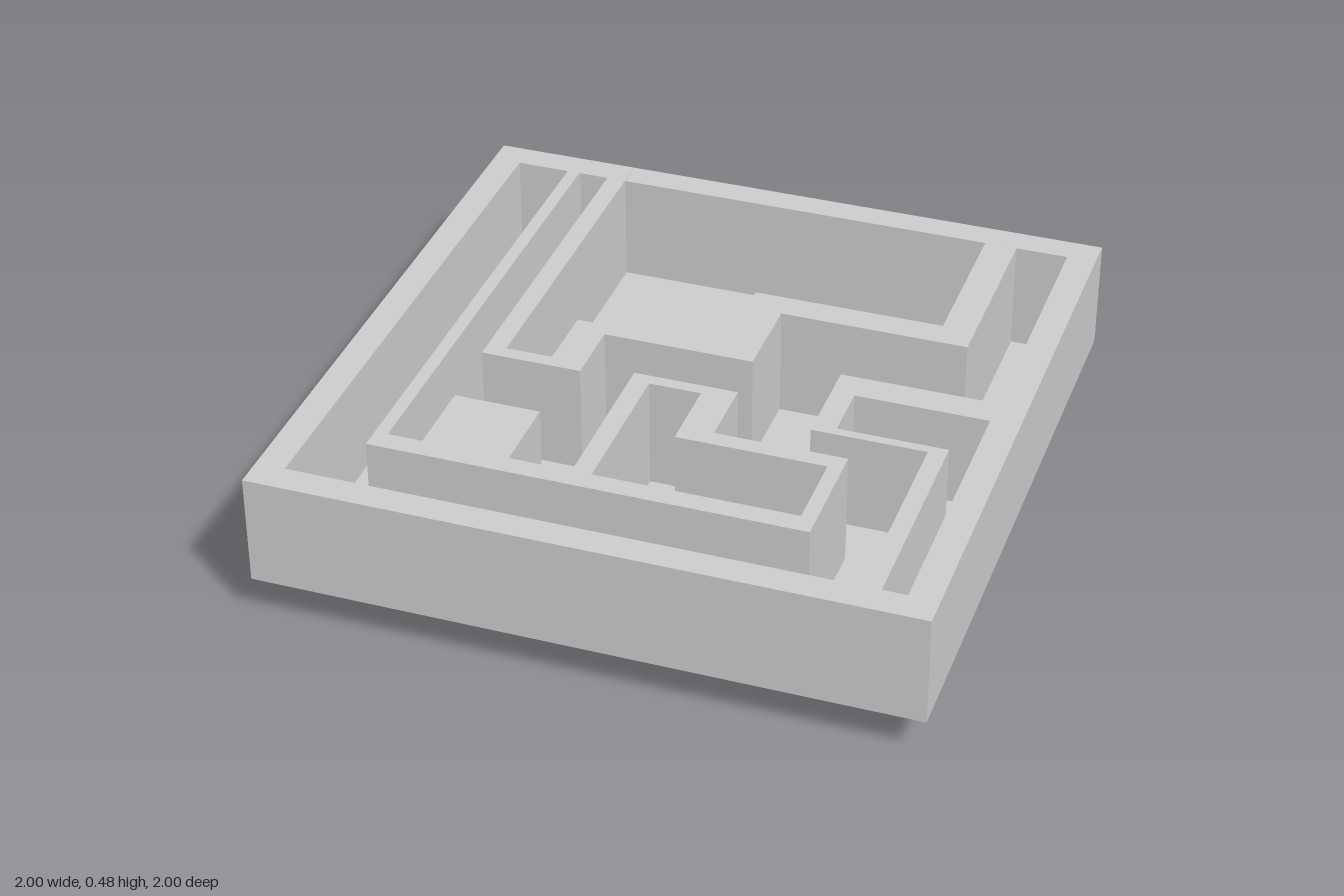
import * as THREE from 'three';

const BASE = 0.13, RIM = 0.475, INNER = 0.91;
const material = new THREE.MeshStandardMaterial({ color: 0xcccccc, flatShading: true, side: THREE.DoubleSide });

// Plan points are [x, z]; shapes are drawn with y = -z and laid flat afterwards.
const toPlan = (points) => points.map(([x, z]) => new THREE.Vector2(x, -z));
const square = (h) => [[-h, -h], [-h, h], [h, h], [h, -h]];

function planShape(outline, hole) {
  const shape = new THREE.Shape(toPlan(outline));
  if (hole) shape.holes.push(new THREE.Path(toPlan(hole)));
  return shape;
}

function addMesh(parent, name, geometry, y = 0) {
  const mesh = new THREE.Mesh(geometry, material);
  mesh.name = name;
  mesh.position.y = y;
  parent.add(mesh);
}

// Maze wall: a plan outline raised from bottom to top
function addWall(parent, name, bottom, top, outline, hole) {
  const geometry = new THREE.ExtrudeGeometry(planShape(outline, hole), { depth: top - bottom, bevelEnabled: false });
  addMesh(parent, name, geometry.rotateX(-Math.PI / 2), bottom);
}

// Four upright sides of a square, open at top and bottom
function squareSides(half) {
  return new THREE.CylinderGeometry(half * Math.SQRT2, half * Math.SQRT2, RIM - BASE, 4, 1, true).rotateY(Math.PI / 4);
}

export function createModel() {
  const model = new THREE.Group();
  model.name = 'mazeTray';

  // Hollow frame, open underneath
  const frame = new THREE.Group();
  frame.name = 'frame';
  model.add(frame);
  const middle = (BASE + RIM) / 2;
  addMesh(frame, 'outerSides', squareSides(1), middle);
  addMesh(frame, 'innerSides', squareSides(INNER), middle);
  addMesh(frame, 'rimTop', new THREE.ShapeGeometry(planShape(square(1), square(INNER))).rotateX(-Math.PI / 2), RIM);

  // Floor sheet
  addMesh(model, 'floor', new THREE.PlaneGeometry(2 * INNER, 2 * INNER).rotateX(-Math.PI / 2), BASE);

  // Long wall that ends in a closed loop
  addWall(model, 'loopWall', 0.085, 0.48,
    [[-0.74, -0.91], [-0.74, 0.73], [0.58, 0.73], [0.58, 0.36], [0.18, 0.36], [0.18, 0.14],
      [-0.14, 0.14], [-0.14, 0.665], [-0.7, 0.665], [-0.7, -0.91]],
    [[-0.08, 0.18], [0.08, 0.18], [0.08, 0.415], [0.535, 0.415], [0.535, 0.665], [-0.08, 0.665]]);

  // Stepped wall enclosing the back chamber
  addWall(model, 'steppedWall', BASE, 0.478,
    [[-0.605, -0.97], [-0.605, 0.18], [-0.295, 0.18], [-0.295, -0.03], [0.17, -0.03], [0.17, -0.31],
      [0.75, -0.31], [0.75, -0.905], [0.65, -0.905], [0.65, -0.4], [0.06, -0.4], [0.06, -0.08],
      [-0.4, -0.08], [-0.4, 0.135], [-0.545, 0.135], [-0.545, -0.97]]);

  // Lower hooked wall on the left side
  addWall(model, 'hookWall', 0.115, 0.44,
    [[0.925, -0.105], [0.42, -0.105], [0.42, 0.2], [0.77, 0.2], [0.77, 0.94], [0.825, 0.94],
      [0.825, 0.17], [0.49, 0.17], [0.49, -0.01], [0.925, -0.01]]);

  // Square post passing down through the floor
  addWall(model, 'post', 0, 0.47, [[-0.6, 0.405], [-0.6, 0.67], [-0.335, 0.67], [-0.335, 0.405]]);

  return model;
}
